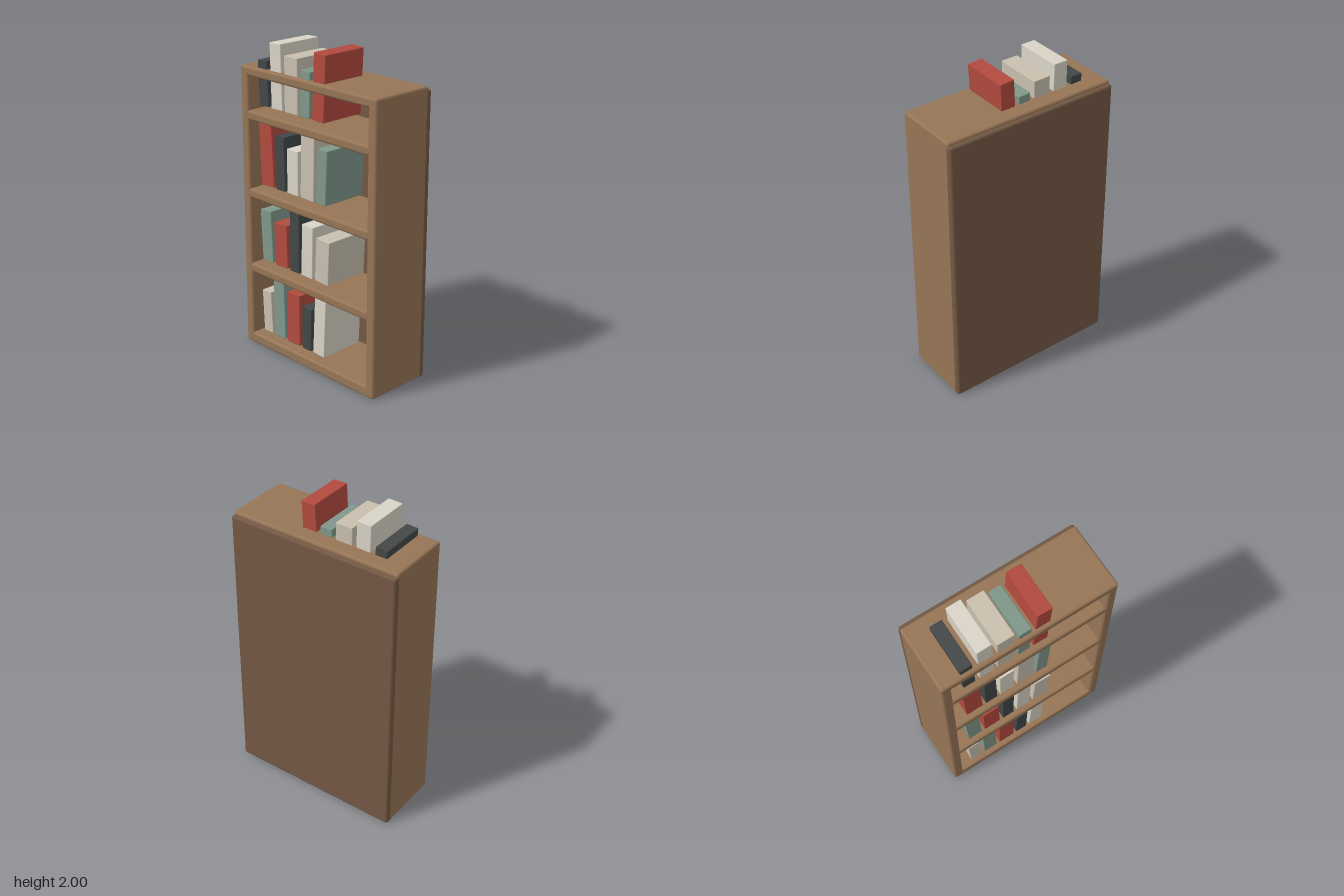
import * as THREE from 'three';
import { RoundedBoxGeometry } from 'three/addons/geometries/RoundedBoxGeometry.js';

const mat = (color) => new THREE.MeshStandardMaterial({ color });
const wood = mat(0x967556), darkWood = mat(0x735843);
const covers = {
  red: mat(0xb24a3e), dark: mat(0x434748), sage: mat(0x80978a),
  white: mat(0xd9d4c6), beige: mat(0xc9c0af),
};

// Box with softened edges, given by its lower and upper bounds
function board(name, material, [x0, x1], [y0, y1], [z0, z1]) {
  const geo = new RoundedBoxGeometry(x1 - x0, y1 - y0, z1 - z0, 3, 0.016);
  const mesh = new THREE.Mesh(geo, material);
  mesh.name = name;
  mesh.position.set((x0 + x1) / 2, (y0 + y1) / 2, (z0 + z1) / 2);
  return mesh;
}

// Each row: base height, then books as [cover, centre x, width, height, lean]
const rows = [
  [0.11, [
    ['beige', -0.389, 0.08, 0.28, 0.05], ['sage', -0.275, 0.095, 0.375, 0.025],
    ['red', -0.145, 0.11, 0.34, 0], ['dark', -0.026, 0.08, 0.285, -0.025],
    ['white', 0.088, 0.095, 0.375, -0.05]]],
  [0.60, [
    ['sage', -0.383, 0.095, 0.335, 0.05], ['red', -0.253, 0.112, 0.28, 0.025],
    ['dark', -0.13, 0.08, 0.39, 0], ['white', -0.018, 0.095, 0.335, -0.025],
    ['beige', 0.113, 0.112, 0.28, -0.05]]],
  [1.10, [
    ['red', -0.373, 0.112, 0.39, 0.05], ['dark', -0.251, 0.08, 0.34, 0.025],
    ['white', -0.14, 0.095, 0.28, 0], ['beige', -0.01, 0.112, 0.39, -0.025],
    ['sage', 0.111, 0.08, 0.34, -0.05]]],
  [1.60, [
    ['dark', -0.39, 0.078, 0.28, 0.05], ['white', -0.275, 0.095, 0.4, 0.025],
    ['beige', -0.145, 0.112, 0.34, 0], ['sage', -0.025, 0.08, 0.28, -0.025],
    ['red', 0.09, 0.095, 0.4, -0.05]]],
];

export function createModel() {
  const model = new THREE.Group();
  model.name = 'bookcase';

  // Carcass
  const depth = [-0.2, 0.225];
  model.add(
    board('rightSide', wood, [-0.57, -0.505], [0, 1.83], depth),
    board('leftSide', wood, [0.505, 0.57], [0, 1.83], depth),
    board('topBoard', wood, [-0.57, 0.57], [1.77, 1.83], depth),
    board('bottomBoard', wood, [-0.57, 0.57], [0, 0.07], depth),
    board('backPanel', darkWood, [-0.57, 0.57], [0, 1.81], [-0.225, -0.175]),
  );

  // Inner shelves
  for (const y of [0.525, 1.025, 1.525]) {
    model.add(board('shelf', wood, [-0.52, 0.52], [y - 0.03, y + 0.03], depth));
  }

  // Books, leaning outward from the middle of each row
  rows.forEach(([y, books], i) => {
    const row = new THREE.Group();
    row.name = `bookRow${i + 1}`;
    for (const [cover, x, w, h, lean] of books) {
      const book = new THREE.Mesh(new RoundedBoxGeometry(w, h, 0.306, 1, 0.004), covers[cover]);
      book.name = `${cover}Book`;
      book.position.set(x, y + h / 2, 0.047);
      book.rotation.z = lean;
      row.add(book);
    }
    model.add(row);
  });
  return model;
}
